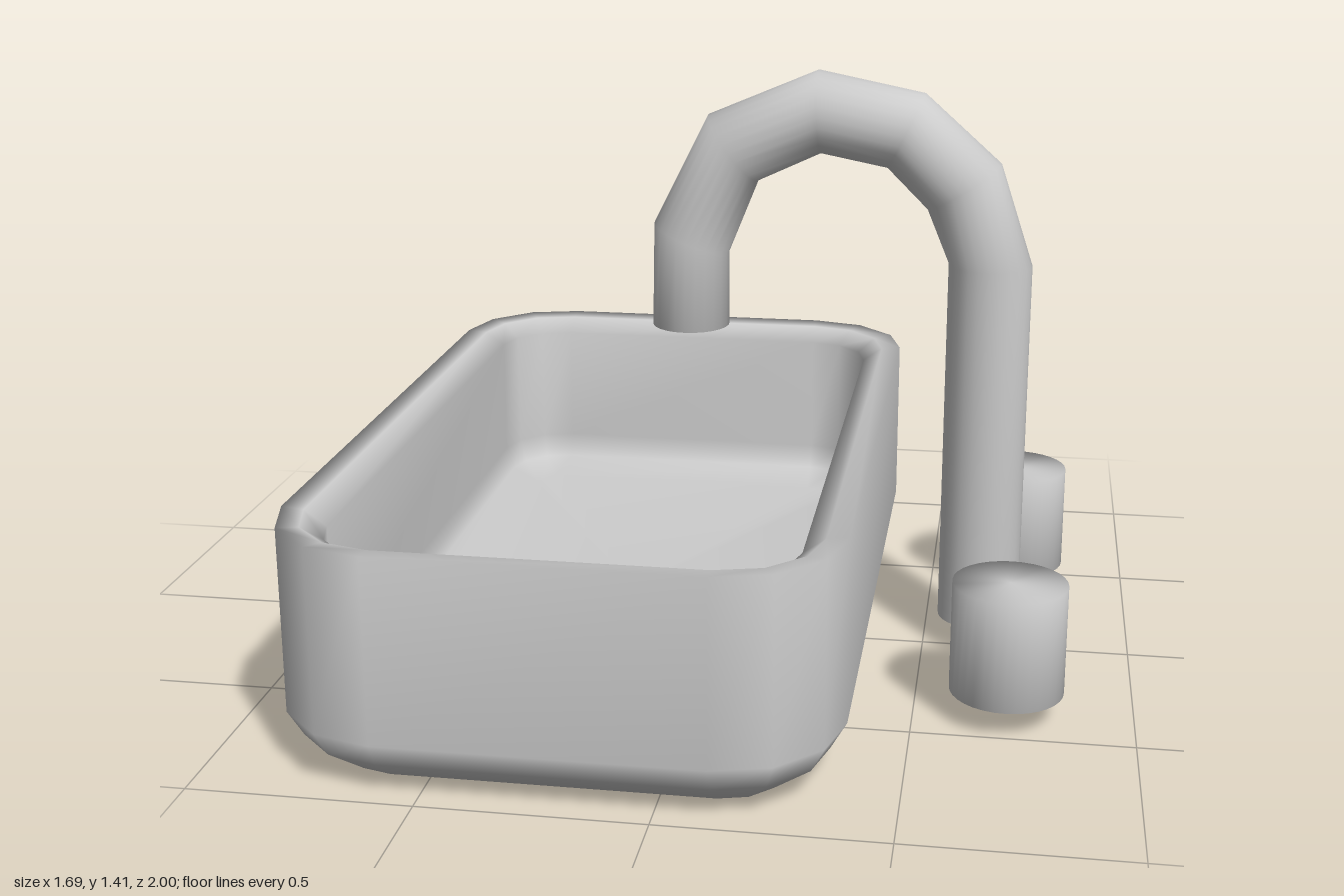
import * as THREE from 'three';
import { mergeVertices } from 'three/addons/utils/BufferGeometryUtils.js';

const material = new THREE.MeshStandardMaterial({ color: 0xcccccc });

// Smooth closed skin over a series of equal-sized rings, each end fanned to its centre.
function loft(rings) {
  const n = rings[0].length, last = (rings.length - 1) * n;
  const centre = (ring) => ring.reduce((s, p) => s.add(p), new THREE.Vector3()).divideScalar(n);
  const points = [...rings.flat(), centre(rings[0]), centre(rings[rings.length - 1])];
  const start = points.length - 2, end = points.length - 1;
  const index = [];
  for (let i = 0; i < n; i++) {
    const j = (i + 1) % n;
    index.push(start, i, j, end, last + j, last + i);
    for (let r = 0; r < last; r += n) {
      index.push(r + i, r + n + i, r + j, r + j, r + n + i, r + n + j);
    }
  }
  const geometry = new THREE.BufferGeometry().setFromPoints(points);
  geometry.setIndex(index);
  geometry.computeVertexNormals();
  return geometry;
}

// Rounded rectangle of the basin, pulled in by an inset, at height y.
function basinRing(inset, y) {
  const radius = 0.26 - inset, ring = [];
  const corners = [[0.12, 0.74], [-0.59, 0.74], [-0.59, -0.74], [0.12, -0.74]];
  corners.forEach(([x, z], c) => {
    for (let k = 0; k <= 3; k++) {
      const a = (c + k / 3) * Math.PI / 2;
      ring.push(new THREE.Vector3(x + radius * Math.cos(a), y, z + radius * Math.sin(a)));
    }
  });
  return ring;
}

// Ring of the spout, spanning from its outer to its inner bend point.
function spoutRing([ox, oy, ix, iy]) {
  const ring = [], sides = 24;
  for (let i = 0; i < sides; i++) {
    const a = i / sides * Math.PI * 2, t = (1 - Math.cos(a)) / 2;
    ring.push(new THREE.Vector3(ox + (ix - ox) * t, oy + (iy - oy) * t, -0.025 + 0.098 * Math.sin(a)));
  }
  return ring;
}

export function createModel() {
  const model = new THREE.Group();
  const add = (name, geometry) => {
    const mesh = new THREE.Mesh(geometry, material);
    mesh.name = name;
    model.add(mesh);
    return mesh;
  };

  // Basin: underside, outer wall, rim, inner wall and floor as [inset, height]
  const basinProfile = [
    [0.13, 0], [0.035, 0.07], [0, 0.13], [0, 0.55],
    [0.05, 0.545], [0.1, 0.51], [0.1, 0.2], [0.12, 0.14], [0.19, 0.1],
  ];
  add('basin', loft(basinProfile.map(([inset, y]) => basinRing(inset, y))));

  // Spout: outer x, y and inner x, y at each bend
  const bends = [
    [0.73, 0.075, 0.534, 0.075], [0.73, 0.96, 0.534, 0.96],
    [0.65, 1.2, 0.48, 1.09], [0.47, 1.36, 0.385, 1.185],
    [0.22, 1.41, 0.23, 1.215], [-0.04, 1.3, 0.08, 1.145],
    [-0.17, 1.04, 0.01, 0.97], [-0.175, 0.79, 0.01, 0.79],
  ];
  add('spout', loft(bends.map(spoutRing)));

  // Tap knobs, with shading running smoothly over the caps
  const knob = new THREE.CylinderGeometry(0.13, 0.13, 0.26, 32);
  knob.deleteAttribute('normal');
  knob.deleteAttribute('uv');
  const smoothKnob = mergeVertices(knob);
  smoothKnob.computeVertexNormals();
  add('leftKnob', smoothKnob).position.set(0.71, 0.195, -0.43);
  add('rightKnob', smoothKnob).position.set(0.71, 0.195, 0.38);

  return model;
}
